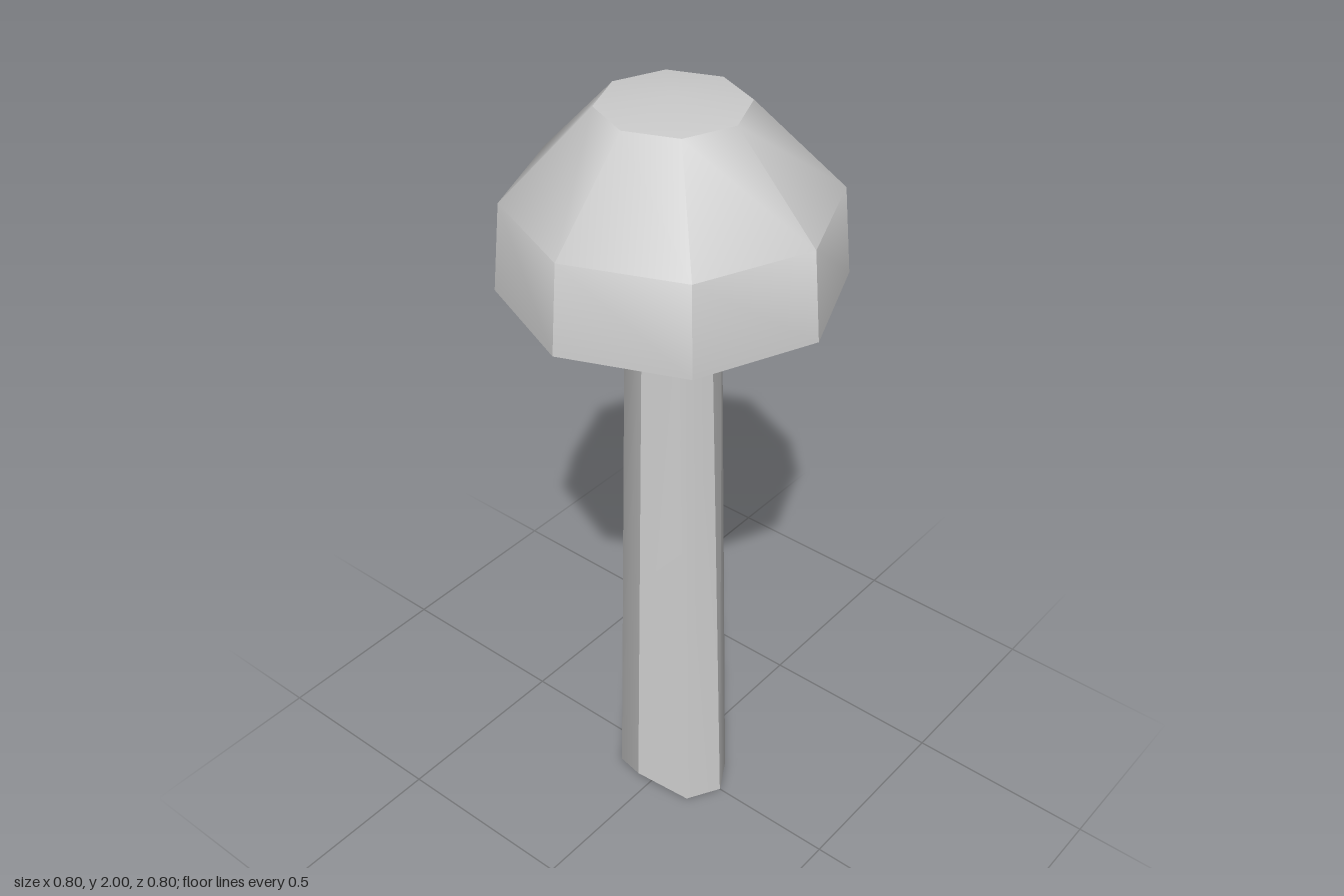
import * as THREE from 'three';
import { toCreasedNormals } from 'three/addons/utils/BufferGeometryUtils.js';

const SIDES = 8;
const CREASE = THREE.MathUtils.degToRad(39);
const material = new THREE.MeshStandardMaterial({ color: 0xcccccc });

function makePart(name, geometry) {
  const mesh = new THREE.Mesh(toCreasedNormals(geometry.toNonIndexed(), CREASE), material);
  mesh.name = name;
  return mesh;
}

// Tapered stem whose foot is pinched in x, with the two side corners cut upwards
function stemGeometry() {
  const height = 1.55, footRadius = 0.165;
  const geometry = new THREE.CylinderGeometry(0.11, footRadius, height, SIDES);
  geometry.translate(0, height / 2, 0);
  const p = geometry.attributes.position;
  for (let i = 0; i < p.count; i++) {
    if (p.getY(i) > 0.01) continue;
    const x = p.getX(i);
    if (Math.abs(x) > 0.14) p.setXYZ(i, Math.sign(x) * 0.15, 0.075, 0);
    else if (Math.abs(x) > 0.05) p.setX(i, Math.sign(x) * 0.085);
  }
  return geometry;
}

// Faceted cap with a flat underside and a shallow crown
function capGeometry() {
  const profile = [[0, 1.55], [0.4, 1.55], [0.38, 1.765], [0.17, 1.98], [0, 2]];
  return new THREE.LatheGeometry(profile.map(([r, y]) => new THREE.Vector2(r, y)), SIDES);
}

export function createModel() {
  const group = new THREE.Group();
  group.name = 'mushroom';
  group.add(makePart('stem', stemGeometry()), makePart('cap', capGeometry()));
  return group;
}
